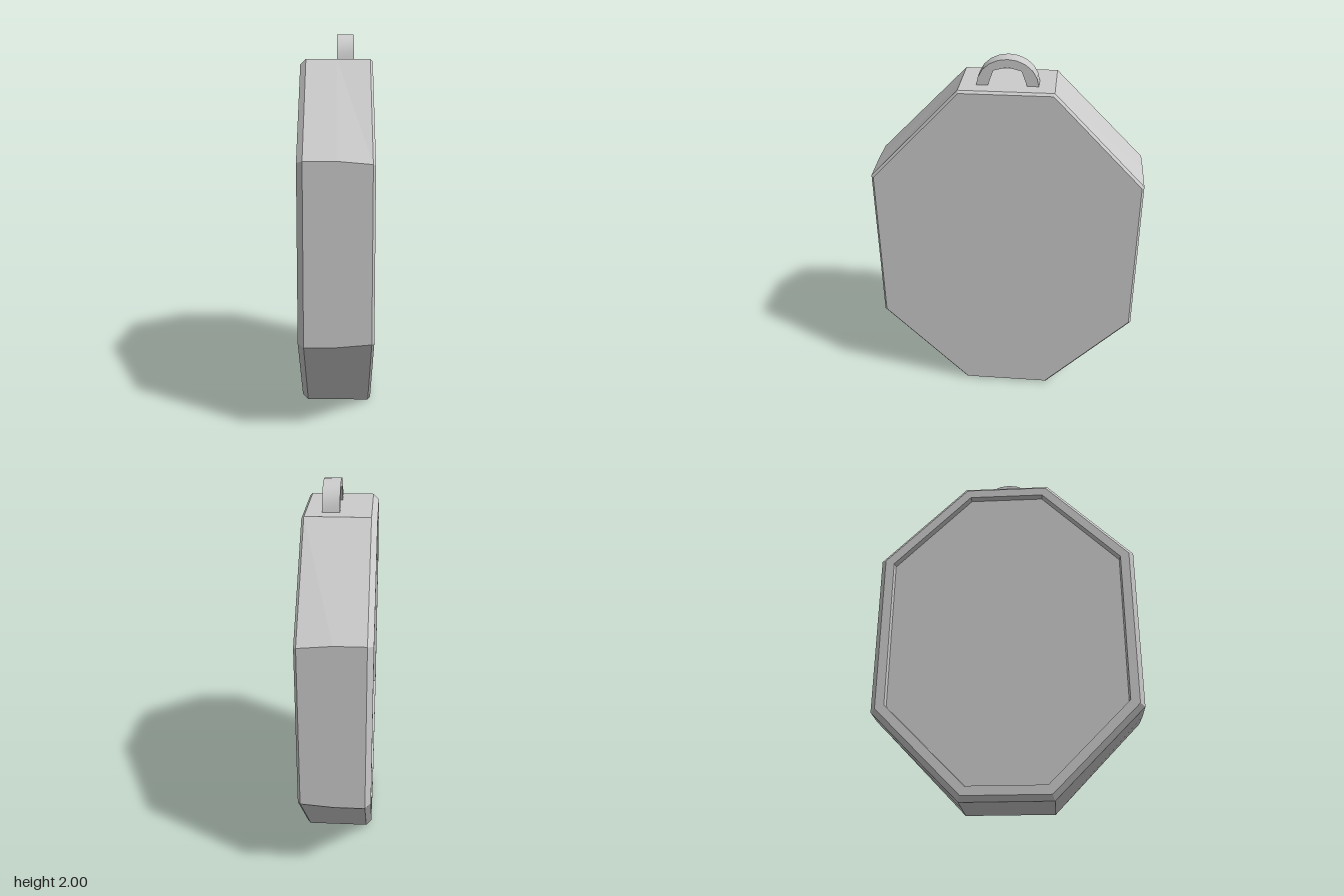
import * as THREE from 'three';
import { toCreasedNormals } from 'three/addons/utils/BufferGeometryUtils.js';

const CENTER_Y = 0.933;
const material = () => new THREE.MeshStandardMaterial({ color: 0xcccccc });

// Elongated octagon in the zy plane, inset by d; cornerY is the half height of its side edge
function octagon(x, d, cornerY = 0.455) {
  const W = 0.715 - d, H = 0.932 - d, h = cornerY - d * 0.41, w = 0.24 - d * 0.41;
  return [[W, -h], [W, h], [w, H], [-w, H], [-W, h], [-W, -h], [-w, -H], [w, -H]]
    .map(([z, y]) => new THREE.Vector3(x, CENTER_Y + y, z));
}

// Skin a run of rings from +x to -x, optionally closing the ends
function loft(rings, capStart, capEnd) {
  const pts = [];
  const n = rings[0].length;
  for (let j = 0; j < n; j++) {
    const k = (j + 1) % n;
    for (let i = 0; i < rings.length - 1; i++) {
      const a = rings[i], b = rings[i + 1];
      pts.push(a[j], a[k], b[k], a[j], b[k], b[j]);
    }
    const first = rings[0], last = rings[rings.length - 1];
    if (capStart) pts.push(new THREE.Vector3(first[0].x, CENTER_Y, 0), first[k], first[j]);
    if (capEnd) pts.push(new THREE.Vector3(last[0].x, CENTER_Y, 0), last[j], last[k]);
  }
  const g = new THREE.BufferGeometry().setFromPoints(pts);
  g.computeVertexNormals();
  return g;
}

function addMesh(group, name, geometry) {
  const mesh = new THREE.Mesh(geometry, material());
  mesh.name = name;
  group.add(mesh);
}

export function createModel() {
  const group = new THREE.Group();
  group.name = 'octagonalPendant';

  // Case: flat +x face, bevelled walls, raised rim on the -x side
  const rimInner = octagon(-0.19, 0.075);
  addMesh(group, 'case', loft([
    octagon(0.185, 0.012, 0.44),
    octagon(0.172, 0, 0.44),
    octagon(0, 0),
    octagon(-0.16, 0),
    octagon(-0.19, 0.027),
    rimInner,
  ], true, false));

  // Sunken panel inside the rim
  addMesh(group, 'recessedPanel', loft([rimInner, octagon(-0.155, 0.08)], false, true));

  // Hanging loop: faceted half ring standing on the top edge
  const base = 1.86;
  const outer = [[0.158, base], [0.148, 1.905], [0.125, 1.945], [0.09, 1.975], [0.047, 1.994]];
  const inner = [[0.1, base], [0.07, 1.942]];
  const mirror = (pts) => pts.map(([x, y]) => [-x, y]).reverse();
  const outline = [
    ...outer, [0, 2], ...mirror(outer),
    ...mirror(inner).reverse(), [0, 1.96], ...inner.slice().reverse(),
  ];
  const shape = new THREE.Shape(outline.map(([x, y]) => new THREE.Vector2(x, y)));
  const loop = new THREE.ExtrudeGeometry(shape, { depth: 0.09, bevelEnabled: false });
  loop.rotateY(Math.PI / 2);
  addMesh(group, 'hangingLoop', toCreasedNormals(loop, 0.6));

  return group;
}
